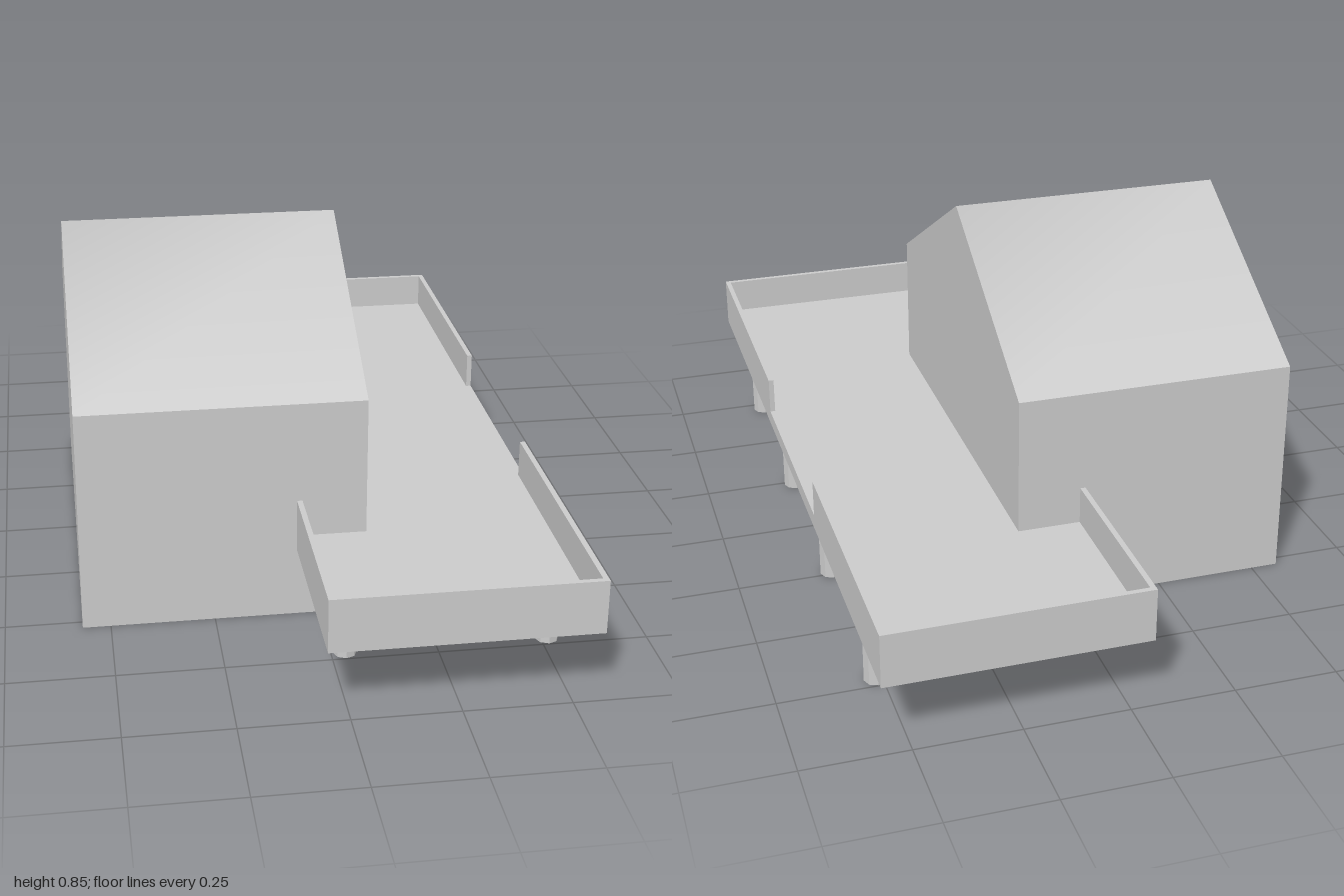
import * as THREE from 'three';
import { toCreasedNormals } from 'three/addons/utils/BufferGeometryUtils.js';

const material = new THREE.MeshStandardMaterial({ color: 0xcccccc });

// Extrudes a closed outline without bevels
function extrude(points, depth) {
  const shape = new THREE.Shape(points.map(([x, y]) => new THREE.Vector2(x, y)));
  return new THREE.ExtrudeGeometry(shape, { depth, bevelEnabled: false });
}

export function createModel() {
  const group = new THREE.Group();
  const add = (name, geometry, x = 0, y = 0, z = 0) => {
    const mesh = new THREE.Mesh(geometry, material);
    mesh.name = name;
    mesh.position.set(x, y, z);
    group.add(mesh);
  };

  // House: gabled prism along x, shading runs smoothly over the ridge
  const halfDepth = 0.527;
  const gable = [[-halfDepth, 0], [halfDepth, 0], [halfDepth, 0.55], [0, 0.847], [-halfDepth, 0.55]];
  const house = extrude(gable, 0.682).rotateY(Math.PI / 2);
  add('house', toCreasedNormals(house, 1.04), -0.567);

  // Deck floor
  const left = -0.052, right = 0.565, bottom = 0.172, floor = 0.21, top = 0.302;
  add('deckFloor', new THREE.BoxGeometry(right - left, floor - bottom, 2), (left + right) / 2, (bottom + floor) / 2, 0);

  // U-shaped parapet at each end, leaving an opening on the outer side
  const t = 0.013;
  for (const [name, s, gap] of [['frontParapet', 1, 0.275], ['backParapet', -1, 0.31]]) {
    const outline = [
      [left, halfDepth], [left, 1], [right, 1], [right, gap],
      [right - t, gap], [right - t, 1 - t], [left + t, 1 - t], [left + t, halfDepth],
    ].map(([x, z]) => [x, -s * z]);
    add(name, extrude(outline, top - floor).rotateX(-Math.PI / 2), 0, floor, 0);
  }

  // Octagonal posts: four along the outer side, two beside the house
  const post = toCreasedNormals(new THREE.CylinderGeometry(0.028, 0.028, bottom, 8), 0.5);
  const spots = [[0.515, 0.72], [0.515, 0.24], [0.515, -0.24], [0.515, -0.72], [0.033, 0.72], [0.033, -0.72]];
  for (const [x, z] of spots) add('post', post, x, bottom / 2, z);

  return group;
}
